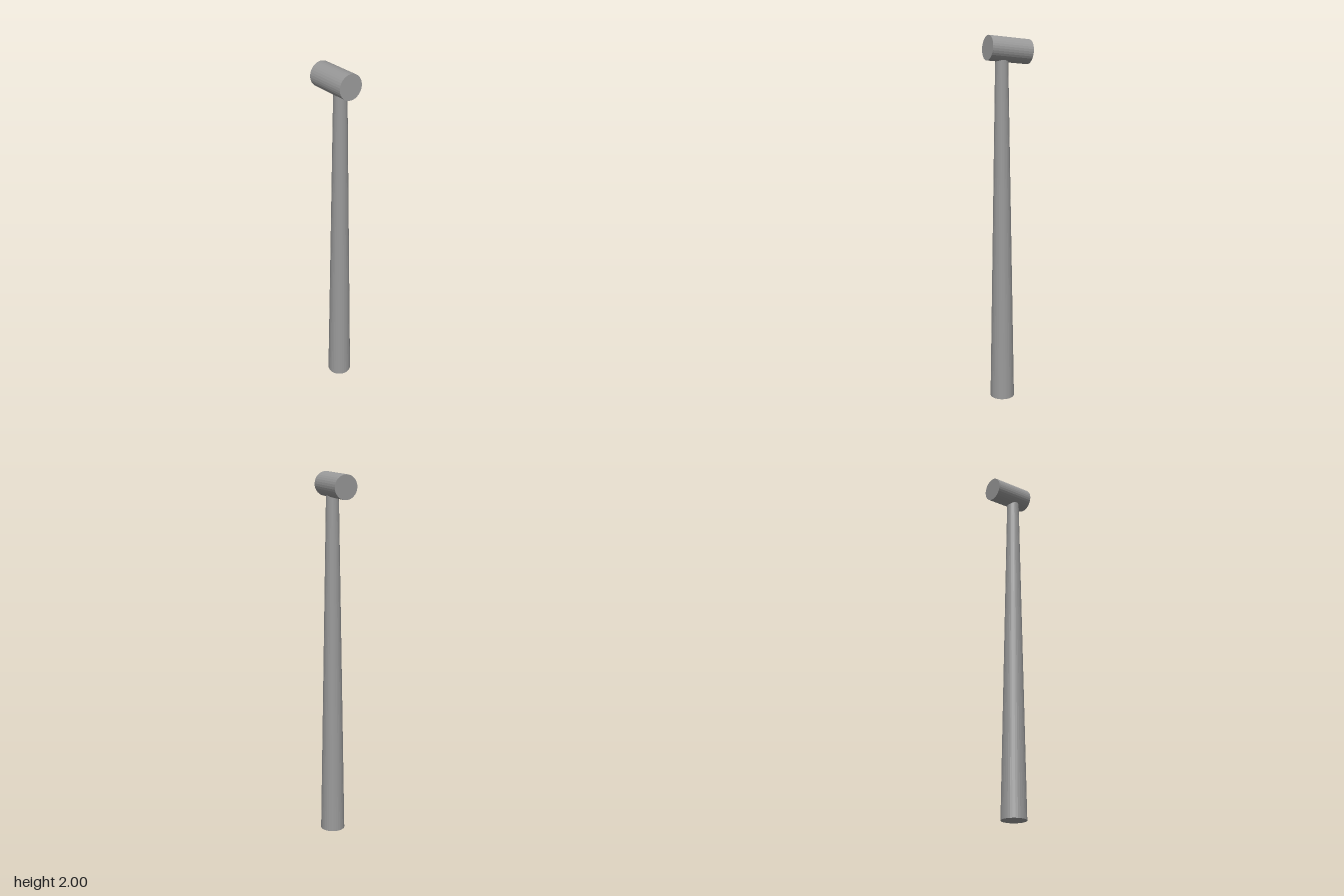
import * as THREE from 'three';

export function createModel() {
  const group = new THREE.Group();
  const grey = new THREE.MeshStandardMaterial({ color: 0x999999 });
  grey.name = 'grey';
  grey.flatShading = true;

  const add = (name, geometry) => {
    const mesh = new THREE.Mesh(geometry, grey);
    mesh.name = name;
    group.add(mesh);
    return mesh;
  };

  // Tapered pole, ending inside the head
  const poleHeight = 1.9;
  const pole = add('pole', new THREE.CylinderGeometry(0.034, 0.067, poleHeight, 32));
  pole.position.set(0, poleHeight / 2, 0.037);

  // Cylindrical head lying along z, front end tipped up by five degrees
  const head = add('head', new THREE.CylinderGeometry(0.065, 0.065, 0.238, 32));
  head.rotation.x = Math.PI / 2 - THREE.MathUtils.degToRad(5);
  head.position.set(0, 1.925, 0);

  return group;
}
